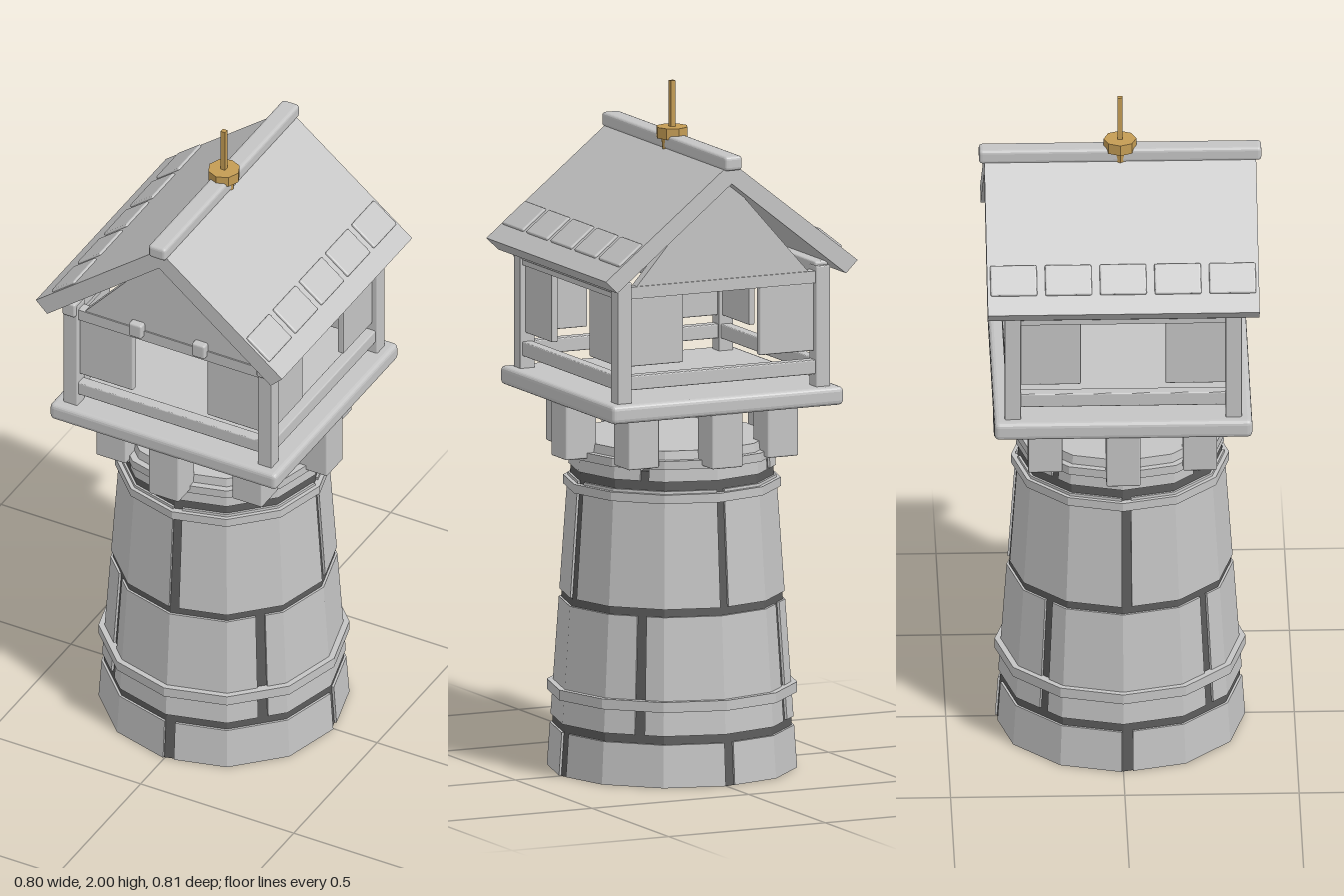
import * as THREE from 'three';
import { RoundedBoxGeometry } from 'three/addons/geometries/RoundedBoxGeometry.js';

const material = (name, color, extra = {}) => {
  const m = new THREE.MeshStandardMaterial({ color, ...extra });
  m.name = name;
  return m;
};

const SIDES = 12;
const STEP = (Math.PI * 2) / SIDES;
// Tower radius at a height, and the radius of the twelve-sided outline at an angle
const towerRadius = (y) => 0.36 - 0.07 * y;
const outline = (r, a) => {
  const local = a - Math.floor(a / STEP) * STEP - STEP / 2;
  return (r * Math.cos(STEP / 2)) / Math.cos(local);
};

// Curved stone block: a four-cornered section swept around part of the tower
function stoneGeometry(y0, y1, a0, a1) {
  const angles = [a0];
  for (let k = Math.floor(a0 / STEP) + 1; k * STEP < a1 - 1e-4; k++) {
    if (k * STEP > a0 + 1e-4) angles.push(k * STEP);
  }
  angles.push(a1);
  const depth = 0.03;
  const section = [
    [towerRadius(y0) - depth, y0], [towerRadius(y0), y0],
    [towerRadius(y1), y1], [towerRadius(y1) - depth, y1],
  ];
  const positions = [];
  const index = [];
  for (const a of angles) {
    for (const [r, y] of section) {
      const q = outline(r, a);
      positions.push(q * Math.sin(a), y, q * Math.cos(a));
    }
  }
  for (let i = 0; i < angles.length - 1; i++) {
    for (let j = 0; j < 4; j++) {
      const a = i * 4 + j, b = i * 4 + ((j + 1) % 4);
      index.push(a, a + 4, b, b, a + 4, b + 4);
    }
  }
  const e = (angles.length - 1) * 4;
  index.push(0, 1, 2, 0, 2, 3, e, e + 2, e + 1, e, e + 3, e + 2);
  const g = new THREE.BufferGeometry();
  g.setAttribute('position', new THREE.Float32BufferAttribute(positions, 3));
  g.setIndex(index);
  const flat = g.toNonIndexed();
  flat.computeVertexNormals();
  return flat;
}

export function createModel() {
  const stone = material('light grey', 0xc4c4c4, { flatShading: true });
  const smooth = stone;
  const mortar = material('dark grey', 0x5a5a5a, { flatShading: true });
  const gold = material('gold', 0xc49c54, { flatShading: true });

  const model = new THREE.Group();
  model.name = 'watchtower';
  const add = (name, geometry, mat, x = 0, y = 0, z = 0, parent = model) => {
    const mesh = new THREE.Mesh(geometry, mat);
    mesh.name = name;
    mesh.position.set(x, y, z);
    parent.add(mesh);
    return mesh;
  };
  const group = (name, parent = model) => {
    const g = new THREE.Group();
    g.name = name;
    parent.add(g);
    return g;
  };
  const rounded = (w, h, d, r = 0.006) => new RoundedBoxGeometry(w, h, d, 2, r);

  // Mortar core and four courses of stone with staggered joints
  const tower = group('tower');
  const coreTop = 0.91;
  add('mortarCore', new THREE.CylinderGeometry(towerRadius(coreTop) - 0.007, 0.353, coreTop, SIDES),
    mortar, 0, coreTop / 2, 0, tower);
  const courses = [[0.001, 0.125, 2], [0.15, 0.492, 48], [0.515, 0.855, 2], [0.882, 0.925, 48]];
  for (const [y0, y1, degrees] of courses) {
    const gap = 0.045;
    for (let k = 0; k < 4; k++) {
      const a = THREE.MathUtils.degToRad(degrees + 90 * k);
      add('stoneBlock', stoneGeometry(y0, y1, a + gap, a + Math.PI / 2 - gap), stone, 0, 0, 0, tower);
    }
  }

  // Raised bands and the cap of the tower
  for (const [y, h, r] of [[0.236, 0.03, 0.36], [0.834, 0.026, 0.313], [0.932, 0.025, 0.308]]) {
    add('band', new THREE.CylinderGeometry(r, r, h, SIDES), stone, 0, y, 0, tower);
  }
  add('towerCap', new THREE.CylinderGeometry(0.283, 0.29, 0.04, SIDES), stone, 0, 0.95, 0, tower);

  // Eight square brackets in a circle under the platform
  const brackets = group('brackets');
  for (let k = 0; k < 8; k++) {
    const a = (k * Math.PI) / 4;
    add('bracket', rounded(0.098, 0.17, 0.098, 0.005), smooth,
      0.314 * Math.sin(a), 1.013, 0.314 * Math.cos(a), brackets);
  }
  add('platform', rounded(0.74, 0.054, 0.74, 0.014), smooth, 0, 1.111, 0);

  // Four sides of the lookout: post, rail, top beam and two shutters each
  const lookout = group('lookout');
  for (let k = 0; k < 4; k++) {
    const side = group('lookoutSide', lookout);
    side.rotation.y = (k * Math.PI) / 2;
    add('post', rounded(0.046, 0.36, 0.046, 0.004), smooth, 0.317, 1.31, 0.317, side);
    add('rail', rounded(0.6, 0.042, 0.034, 0.004), smooth, 0, 1.195, 0.317, side);
    add('topBeam', new THREE.BoxGeometry(0.6, 0.035, 0.034), stone, 0, 1.4575, 0.317, side);
    for (const s of [-1, 1]) {
      add('shutter', rounded(0.175, 0.2, 0.02, 0.004), smooth, s * 0.209, 1.341, 0.314, side);
    }
  }

  // Ceiling joists whose ends show at the front
  for (const x of [-0.317, -0.1, 0.106, 0.317]) {
    add('joist', rounded(0.042, 0.046, 0.68, 0.006), smooth, x, 1.478, 0.012, lookout);
  }

  // Gable walls, front and back
  const gable = new THREE.Shape([[-0.3, 1.445], [0.3, 1.445], [0, 1.785]].map((p) => new THREE.Vector2(...p)));
  for (const z of [-0.33, 0.3]) {
    add('gable', new THREE.ExtrudeGeometry(gable, { depth: 0.03, bevelEnabled: false }), stone, 0, 0, z);
  }

  // Roof slopes with a row of tiles near each eave
  const roof = group('roof');
  const slope = Math.atan2(0.315, 0.4);
  for (const s of [-1, 1]) {
    const profile = [[0, 1.825], [0.402, 1.508], [0.365, 1.472], [0, 1.762]];
    const shape = new THREE.Shape(profile.map(([x, y]) => new THREE.Vector2(s * x, y)));
    add('roofSlope', new THREE.ExtrudeGeometry(shape, { depth: 0.78, bevelEnabled: false }),
      stone, 0, 0, -0.39, roof);
    for (let k = -2; k <= 2; k++) {
      const tile = add('roofTile', rounded(0.095, 0.014, 0.134, 0.005), smooth,
        s * 0.317, 1.575, k * 0.157, roof);
      tile.rotation.z = -s * slope;
    }
  }
  add('ridge', rounded(0.056, 0.042, 0.81, 0.01), smooth, 0, 1.823, 0, roof);

  // Gold finial
  const finial = group('finial');
  add('finialBase', new THREE.CylinderGeometry(0.034, 0.03, 0.035, 8), gold, 0, 1.82, 0, finial);
  add('finialCollar', new THREE.CylinderGeometry(0.047, 0.047, 0.032, 8), gold, 0, 1.85, 0, finial);
  add('finialSpike', new THREE.BoxGeometry(0.014, 0.15, 0.014), gold, 0, 1.925, 0, finial);

  return model;
}
